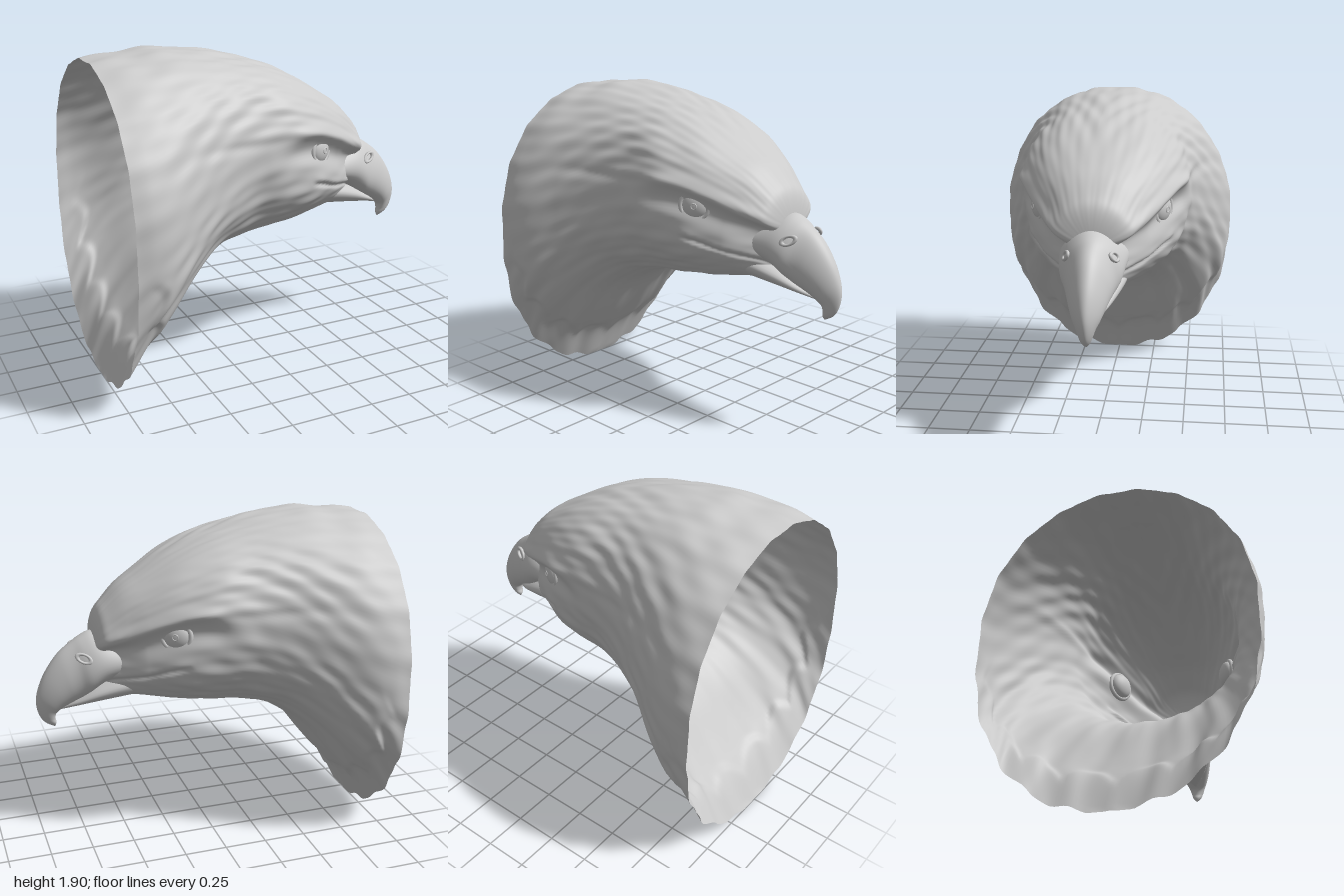
import * as THREE from 'three';

const mat = new THREE.MeshStandardMaterial({ color: 0xcccccc, roughness: 0.8 });
const skinMat = new THREE.MeshStandardMaterial({ color: 0xcccccc, roughness: 0.8, side: THREE.DoubleSide });
const gauss = (d, s) => Math.exp(-(d * d) / (s * s));
const step = (a, b, x) => THREE.MathUtils.smoothstep(x, a, b);

// Smooth curve through rows of [t, ...values]
function spline(rows) {
  const f = new THREE.CubicInterpolant(rows.map(r => r[0]), rows.flatMap(r => r.slice(1)), rows[0].length - 1);
  return t => Array.from(f.evaluate(t));
}

// Surface from closed rings: point(u 0..1, angle) -> [x, y, z]
function loft(point, nu, nv) {
  const pos = [], index = [];
  for (let i = 0; i <= nu; i++)
    for (let j = 0; j < nv; j++) {
      pos.push(...point(i / nu, (j / nv) * Math.PI * 2));
      if (i === nu) continue;
      const k = (j + 1) % nv, a = i * nv + j, b = i * nv + k;
      index.push(a, a + nv, b, b, a + nv, b + nv);
    }
  const g = new THREE.BufferGeometry();
  g.setAttribute('position', new THREE.Float32BufferAttribute(pos, 3));
  g.setIndex(index);
  g.computeVertexNormals();
  return g;
}

// Head sections: x, top, bottom, half width, height of widest point, roundness
const section = spline([
  [-1, 1.86, 0.0, 0.76, 0.95, 2.15],
  [-0.9, 1.875, 0.2, 0.765, 1.0, 2.15],
  [-0.8, 1.885, 0.33, 0.745, 1.05, 2.15],
  [-0.6, 1.9, 0.575, 0.655, 1.15, 2.2],
  [-0.4, 1.885, 0.73, 0.57, 1.25, 2.25],
  [-0.2, 1.845, 0.79, 0.515, 1.34, 2.25],
  [0, 1.79, 0.81, 0.495, 1.39, 2.25],
  [0.2, 1.705, 0.83, 0.435, 1.38, 2.25],
  [0.4, 1.585, 0.865, 0.335, 1.33, 2.25],
  [0.5, 1.52, 0.88, 0.275, 1.28, 2.2],
  [0.6, 1.425, 0.93, 0.22, 1.22, 2.1],
  [0.67, 1.36, 0.98, 0.19, 1.18, 2],
]);
const browLine = spline([[-1, 1.4], [-0.1, 1.42], [0.18, 1.42], [0.35, 1.36], [0.5, 1.29], [0.67, 1.23]]);
const mouthLine = spline([[-1, 1.12], [0.18, 1.125], [0.4, 1.055], [0.57, 1.0], [0.7, 0.92]]);

// Sideways relief: brow ridge, eye socket, narrowed lore, cheek and mouth crease
function relief(x, y) {
  const by = browLine(x)[0], my = mouthLine(x)[0];
  const brow = step(-0.15, 0.2, x) * (1 - 0.5 * step(0.55, 0.66, x));
  const mouth = step(0.16, 0.26, x);
  return brow * (0.03 * gauss(y - by - 0.02, 0.045) - 0.045 * gauss(y - by + 0.1, 0.075))
    - 0.055 * step(0.4, 0.62, x) * step(0, 0.08, by - y)
    + 0.025 * gauss(x - 0.15, 0.15) * gauss(y - 1.05, 0.1)
    + mouth * (0.008 * gauss(y - my - 0.03, 0.025) - 0.024 * gauss(y - my, 0.014))
    - 0.015 * gauss(y - 1.43, 0.03) * gauss(x + 0.35, 0.2);
}

// Feather relief: long soft strands, plus overlapping tufts on the lower neck
function feathers(x, a) {
  const m = Math.abs(Math.atan2(Math.cos(a), Math.sin(a)));
  const fade = 1 - step(0, 0.4, x);
  const strands = Math.sin(m * 17 + 3 * Math.sin(x * 5 + m * 2)) * Math.sin(x * 9 + m * 7)
    + 0.6 * Math.sin(m * 31 + x * 6) * Math.sin(x * 14 - m * 9);
  const low = step(1.5, 2.1, m), back = 1 - step(-0.75, -0.45, x);
  const edge = -0.91 + 0.07 * Math.abs(Math.sin(m * 9));
  const tufts = low * back * (0.024 * step(edge - 0.03, edge + 0.03, x) + 0.009 * Math.sin(m * 18 + x * 3));
  return 0.006 * strands * (0.25 + 0.75 * fade) + tufts;
}

const HEAD_END = 0.664;
function skinPoint(u, a) {
  const x = -1 + (1 + HEAD_END) * (1 - Math.pow(1 - u, 1.5));
  const [top, bot, w, cy, n] = section(x);
  const c = Math.cos(a), s = Math.sin(a);
  const pc = Math.sign(c) * Math.abs(c) ** (2 / n), ps = Math.sign(s) * Math.abs(s) ** (2 / n);
  // rounded forehead end
  const q = Math.max(0, (x - 0.58) / (HEAD_END - 0.58));
  const cap = Math.sqrt(Math.max(0, 1 - q ** 4));
  const f = feathers(x, a);
  const y = (s > 0 ? top - cy : cy - bot) * ps;
  const z = w * pc + relief(x, cy + y) * pc;
  return [x, Math.max(0, cy + (y + f * s) * cap), (z + f * c) * cap];
}

// Half width of the skin at a given place, for seating the eyes
function sideAt(x, y) {
  const [top, bot, w, cy, n] = section(x);
  const k = Math.abs(y - cy) / (y > cy ? top - cy : cy - bot);
  return (w + relief(x, y)) * (1 - k ** n) ** (1 / n);
}

// Beak sections: t, upper x y, lower x y, half width
function beakGeometry(rows, taper, nu, nv) {
  const f = spline(rows), end = rows[rows.length - 1][0];
  return loft((u, a) => {
    const [tx, ty, bx, by, w] = f(u * end);
    const s = Math.sin(a), c = Math.cos(a);
    return [(tx + bx) / 2 + (tx - bx) / 2 * s, (ty + by) / 2 + (ty - by) / 2 * s, w * c * (1 - taper * s)];
  }, nu, nv);
}

function createModel() {
  const model = new THREE.Group();
  model.name = 'birdHead';
  const add = (parent, name, geometry, material = mat) => {
    const mesh = new THREE.Mesh(geometry, material);
    mesh.name = name;
    parent.add(mesh);
    return mesh;
  };

  add(model, 'featheredHead', loft(skinPoint, 220, 220), skinMat);

  add(model, 'upperBeak', beakGeometry([
    [0, 0.5, 1.24, 0.44, 1.02, 0.19],
    [1, 0.66, 1.27, 0.6, 0.97, 0.178],
    [1.6, 0.73, 1.245, 0.68, 0.915, 0.162],
    [2, 0.77, 1.22, 0.725, 0.885, 0.14],
    [3, 0.86, 1.15, 0.785, 0.855, 0.115],
    [4, 0.935, 1.05, 0.835, 0.83, 0.093],
    [5, 0.98, 0.955, 0.87, 0.805, 0.072],
    [6, 0.998, 0.87, 0.886, 0.785, 0.052],
    [7, 0.985, 0.79, 0.89, 0.755, 0.036],
    [8, 0.95, 0.735, 0.886, 0.728, 0.022],
    [8.7, 0.902, 0.706, 0.894, 0.705, 0.002],
  ], 0.25, 70, 48));

  add(model, 'lowerBeak', beakGeometry([
    [0, 0.3, 1.04, 0.3, 0.88, 0.17],
    [1, 0.48, 1.03, 0.46, 0.868, 0.175],
    [2, 0.64, 0.97, 0.62, 0.85, 0.14],
    [3, 0.77, 0.89, 0.76, 0.83, 0.085],
    [4, 0.87, 0.82, 0.87, 0.805, 0.01],
  ], -0.15, 30, 32));

  // Eyes and nostrils, one of each per side
  for (const side of [1, -1]) {
    const turn = side > 0 ? 0.5 : Math.PI - 0.5;
    const eye = new THREE.Group();
    eye.name = side > 0 ? 'leftEye' : 'rightEye';
    eye.position.set(0.25, 1.31, side * (sideAt(0.25, 1.31) - 0.018));
    eye.rotation.y = turn;
    model.add(eye);
    add(eye, 'eyeball', new THREE.SphereGeometry(0.078, 32, 24)).scale.z = 0.55;
    const lid = add(eye, 'eyelid', new THREE.TorusGeometry(0.082, 0.014, 12, 40));
    lid.position.z = 0.01;
    const pupil = add(eye, 'pupil', new THREE.TorusGeometry(0.016, 0.004, 8, 24));
    pupil.position.z = 0.041;

    const nostril = add(model, side > 0 ? 'leftNostril' : 'rightNostril', new THREE.TorusGeometry(0.03, 0.01, 10, 28));
    nostril.position.set(0.73, 1.15, side * 0.13);
    nostril.rotation.set(side * -0.3, side > 0 ? 0.3 : Math.PI - 0.3, side * 0.5);
    nostril.scale.set(1.4, 0.75, 1);
  }
  return model;
}

export { createModel };
